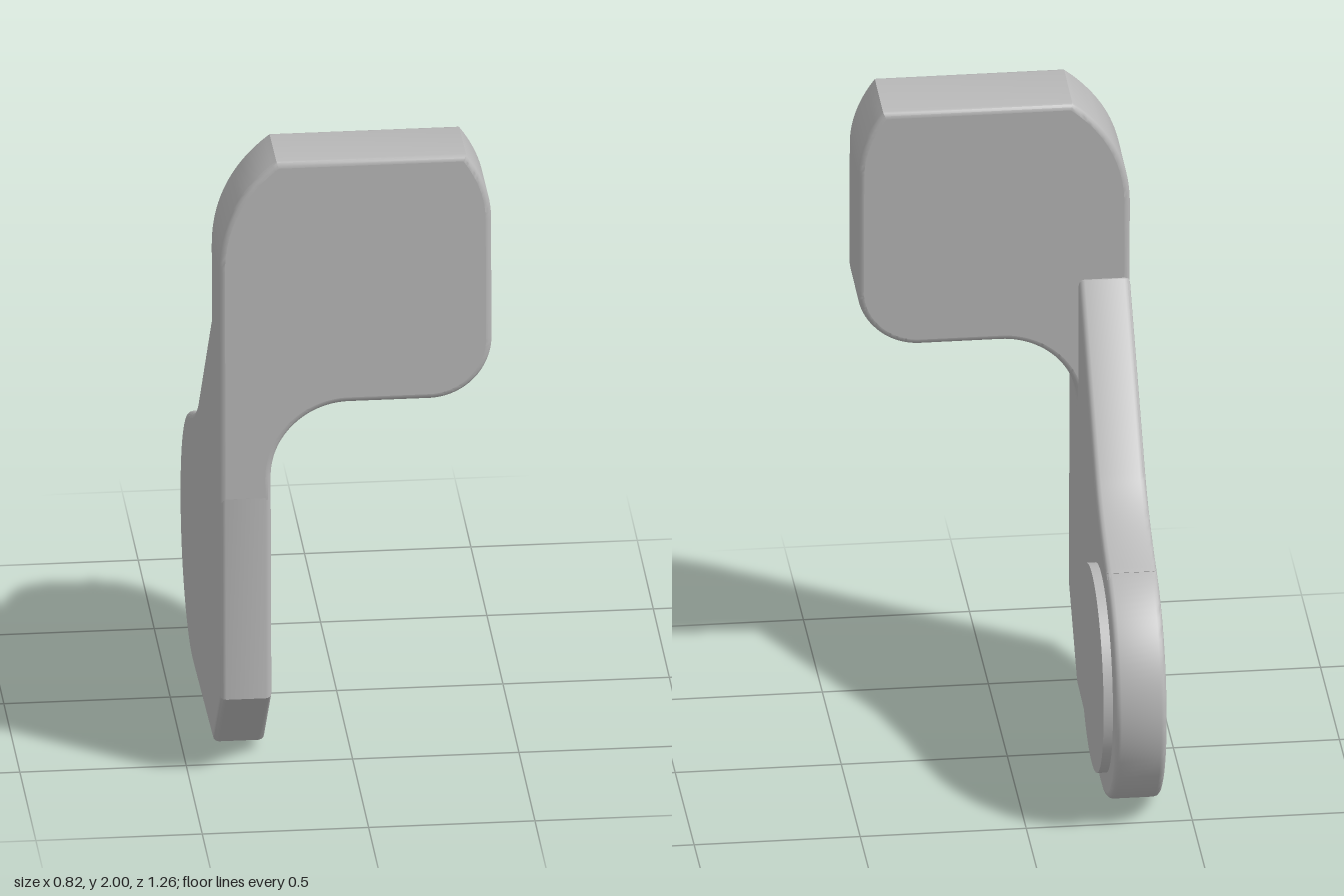
import * as THREE from 'three';
import { toCreasedNormals } from 'three/addons/utils/BufferGeometryUtils.js';

const BEVEL = 0.018;

// Extrude an outline between two depths with softened rims and flat faces
function roundedPlate(shape, from, to) {
  const flat = new THREE.ExtrudeGeometry(shape, {
    depth: to - from - 2 * BEVEL,
    bevelThickness: BEVEL, bevelSize: BEVEL, bevelOffset: -BEVEL,
    bevelSegments: 3, curveSegments: 24,
  });
  flat.translate(0, 0, from + BEVEL);
  flat.computeVertexNormals();
  const source = flat.attributes.normal.clone();
  const geometry = toCreasedNormals(flat, 0.55);
  const normal = geometry.attributes.normal;
  for (let i = 0; i < normal.count; i++) {
    const z = source.getZ(i);
    if (Math.abs(z) > 0.999) normal.setXYZ(i, 0, 0, Math.sign(z));
  }
  return geometry;
}

export function createModel() {
  const group = new THREE.Group();
  const grey = new THREE.MeshStandardMaterial({ color: 0xb8b8b8 });
  grey.name = 'grey';
  const add = (name, geometry) => {
    const mesh = new THREE.Mesh(geometry, grey);
    mesh.name = name;
    group.add(mesh);
    return mesh;
  };

  // Upright arm with a round pivot end, drawn in (z, y)
  const arm = new THREE.Shape();
  arm.moveTo(0.4, 0.03);
  arm.lineTo(0.631, 0.27);
  arm.lineTo(0.596, 1.34);
  arm.lineTo(0.4, 1.4);
  arm.lineTo(0.345, 1.4);
  arm.lineTo(-0.06, 0.95);
  arm.quadraticCurveTo(-0.151, 0.849, -0.37, 0.77);
  arm.absarc(-0.235, 0.396, 0.396, 1.916, Math.PI * 1.5 + 0.04, false);
  arm.closePath();
  add('sideArm', roundedPlate(arm, 0.255, 0.41).rotateY(-Math.PI / 2));

  // Thumb paddle, drawn in (x, y) and leaning slightly back
  const paddle = new THREE.Shape();
  paddle.moveTo(-0.41, 0.9);
  paddle.lineTo(-0.255, 0.9);
  paddle.lineTo(-0.255, 0.98);
  paddle.absarc(-0.02, 0.98, 0.235, Math.PI, Math.PI / 2, true);
  paddle.lineTo(0.22, 1.215);
  paddle.absarc(0.22, 1.405, 0.19, -Math.PI / 2, 0, false);
  paddle.lineTo(0.41, 1.79);
  paddle.quadraticCurveTo(0.41, 1.9, 0.335, 2);
  paddle.lineTo(-0.235, 2);
  paddle.quadraticCurveTo(-0.41, 1.868, -0.41, 1.65);
  paddle.closePath();
  add('paddle', roundedPlate(paddle, 0.395, 0.639).translate(0, -0.02, 0).rotateX(-0.032));

  // Raised pivot boss on the inner face
  const boss = add('pivotBoss', new THREE.CylinderGeometry(0.315, 0.315, 0.06, 72));
  boss.rotation.z = -Math.PI / 2;
  boss.position.set(-0.257, 0.396, -0.24);

  return group;
}
